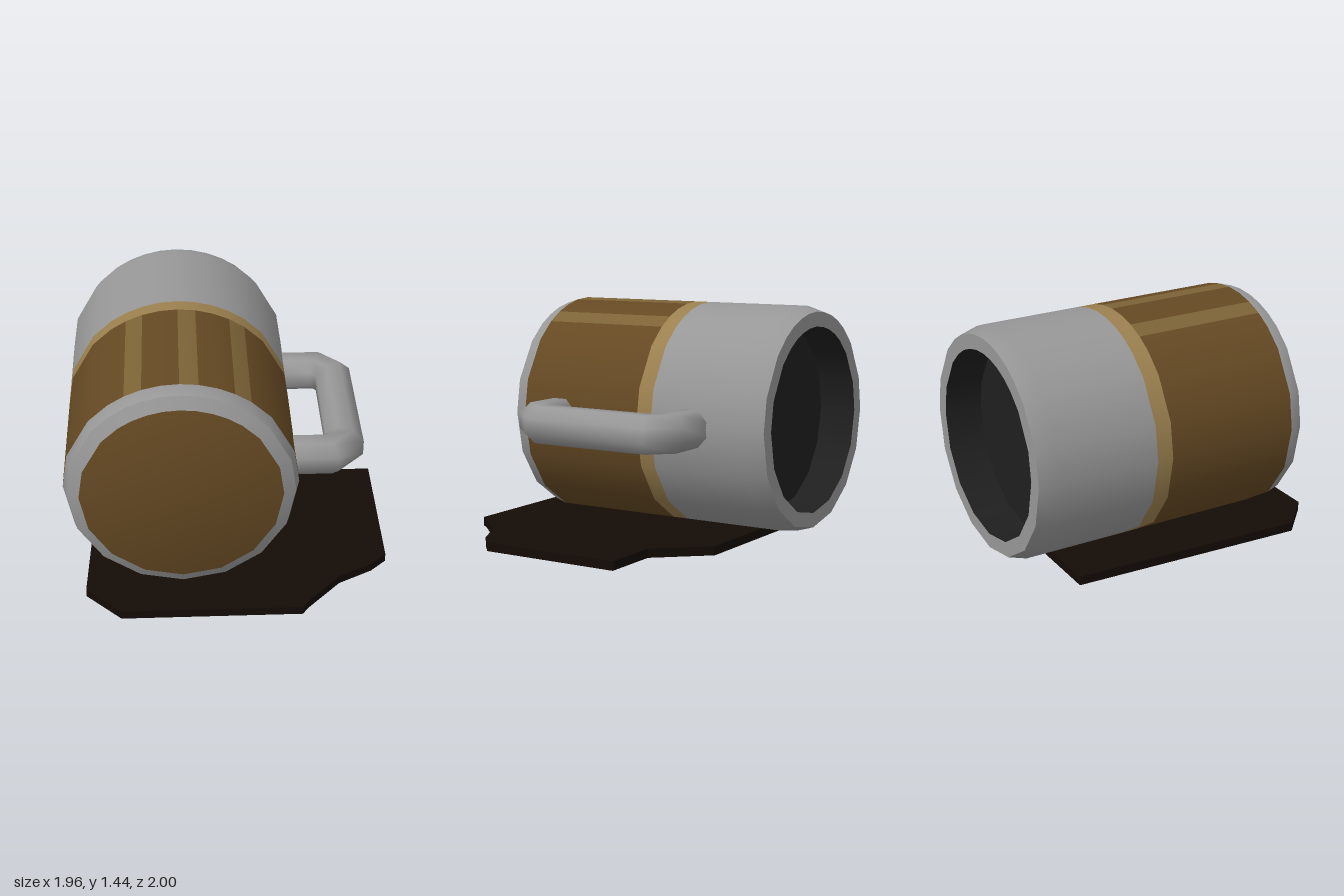
import * as THREE from 'three';

const AXIS = { x: -0.286, y: 0.75 };
const GREY = 0x979797, BROWN = 0x654923, STRIPE = 0x7c6337, BAND = 0x9b804f, DARK = 0x1f1f1f, PUDDLE = 0x130b06;

// Degrees around the mug from its top: finer over the top half, 16-sided below
const ANGLES = [-90, -72, -49, -36, -27, -18, -9, 0, 9, 18, 27, 36, 49, 72];
for (let a = 90; a <= 270; a += 22.5) ANGLES.push(a);
const STRIPES = [[-36, -27], [-9, 0], [18, 27]];

function addMesh(group, name, geometry, color) {
  const mesh = new THREE.Mesh(geometry, new THREE.MeshStandardMaterial({ color }));
  mesh.name = name;
  group.add(mesh);
}

function makeGeometry(positions, indices) {
  const g = new THREE.BufferGeometry();
  g.setAttribute('position', new THREE.Float32BufferAttribute(positions, 3));
  g.setIndex(indices);
  return g;
}

// Conical strip between two rings on the mug axis; tilts lean each ring's normals from radial towards +z
function strip([r0, z0], [r1, z1], angles, tilts) {
  const pos = [], nor = [], idx = [];
  const flat = Math.atan2(r0 - r1, z1 - z0);
  const [t0, t1] = tilts ?? [flat, flat];
  angles.forEach((deg, i) => {
    const a = THREE.MathUtils.degToRad(deg), c = -Math.sin(a), s = Math.cos(a);
    for (const [r, z, t] of [[r0, z0, t0], [r1, z1, t1]]) {
      pos.push(AXIS.x + r * c, AXIS.y + r * s, z);
      nor.push(Math.cos(t) * c, Math.cos(t) * s, Math.sin(t));
    }
    if (i > 0) {
      const p = 2 * i - 2, q = 2 * i;
      idx.push(p, q, q + 1, p, q + 1, p + 1);
    }
  });
  const g = makeGeometry(pos, idx);
  g.setAttribute('normal', new THREE.Float32BufferAttribute(nor, 3));
  return g;
}

// Octagonal tube with mitred bends, following a path in the x-z plane
function mitredTube(path, radius, sides) {
  const pos = [], idx = [];
  const dir = (a, b) => b.clone().sub(a).normalize();
  path.forEach((p, i) => {
    const before = i > 0 ? dir(path[i - 1], p) : dir(p, path[1]);
    const after = i < path.length - 1 ? dir(p, path[i + 1]) : before;
    const t = before.clone().add(after).normalize();
    const stretch = 1 / t.dot(before);
    for (let k = 0; k < sides; k++) {
      const a = (k + 0.5) / sides * Math.PI * 2;
      const u = Math.cos(a) * radius * stretch;
      pos.push(p.x + t.y * u, AXIS.y + Math.sin(a) * radius, p.y - t.x * u);
      if (i > 0) {
        const n = (k + 1) % sides, lo = (i - 1) * sides, hi = i * sides;
        idx.push(lo + k, lo + n, hi + n, lo + k, hi + n, hi + k);
      }
    }
  });
  // end caps
  const last = (path.length - 1) * sides;
  for (let k = 1; k < sides - 1; k++) idx.push(0, k + 1, k, last, last + k, last + k + 1);
  const g = makeGeometry(pos, idx);
  g.computeVertexNormals();
  return g;
}

export function createModel() {
  const model = new THREE.Group();
  model.name = 'tippedMug';

  // Mug lying on its side, from the cavity floor over the rim to the base
  const mug = new THREE.Group();
  mug.name = 'mug';
  model.add(mug);
  const sections = [
    ['cavityFloor', DARK, [0, -0.765], [0.57, -0.765]],
    ['cavityWall', DARK, [0.57, -0.765], [0.57, -1]],
    ['rim', GREY, [0.57, -1], [0.66, -1]],
    ['rimBevel', GREY, [0.66, -1], [0.694, -0.89], [-0.15, 0]],
    ['upperBody', GREY, [0.694, -0.89], [0.694, -0.26]],
    ['band', BAND, [0.694, -0.26], [0.694, -0.16]],
    ['footBevel', GREY, [0.694, 0.67], [0.67, 0.75], [0, 0.3]],
    ['footEdge', GREY, [0.67, 0.75], [0.597, 0.79]],
    ['base', BROWN, [0.597, 0.79], [0, 0.79], [1.3, Math.PI / 2]],
  ];
  for (const [name, color, from, to, tilts] of sections) addMesh(mug, name, strip(from, to, ANGLES, tilts), color);

  // Lower body with pale stripes along its top
  const from = [0.694, -0.16], to = [0.694, 0.67];
  let start = -90;
  for (const [a, b] of [...STRIPES, [270, 270]]) {
    addMesh(mug, 'lowerBody', strip(from, to, ANGLES.filter(v => v >= start && v <= a)), BROWN);
    if (b > a) addMesh(mug, 'stripe', strip(from, to, [a, b]), STRIPE);
    start = b;
  }

  // Handle
  const path = [[0.385, -0.527], [0.61, -0.527], [0.712, -0.425], [0.712, 0.31], [0.61, 0.412], [0.385, 0.412]]
    .map(([x, z]) => new THREE.Vector2(x, z));
  addMesh(mug, 'handle', mitredTube(path, 0.121, 8), GREY);

  // Flat spill under the mug
  const outline = [[-0.815, -0.68], [0.345, -0.67], [0.61, -0.37], [0.978, -0.37], [0.978, 0.53], [0.88, 0.62],
    [0.67, 0.73], [0.46, 0.95], [0.425, 1], [-0.66, 1], [-0.875, 0.79]];
  const shape = new THREE.Shape(outline.map(([x, z]) => new THREE.Vector2(x, -z)));
  const spill = new THREE.ExtrudeGeometry(shape, { depth: 0.055, bevelEnabled: false }).rotateX(-Math.PI / 2);
  addMesh(model, 'spill', spill, PUDDLE);

  return model;
}
